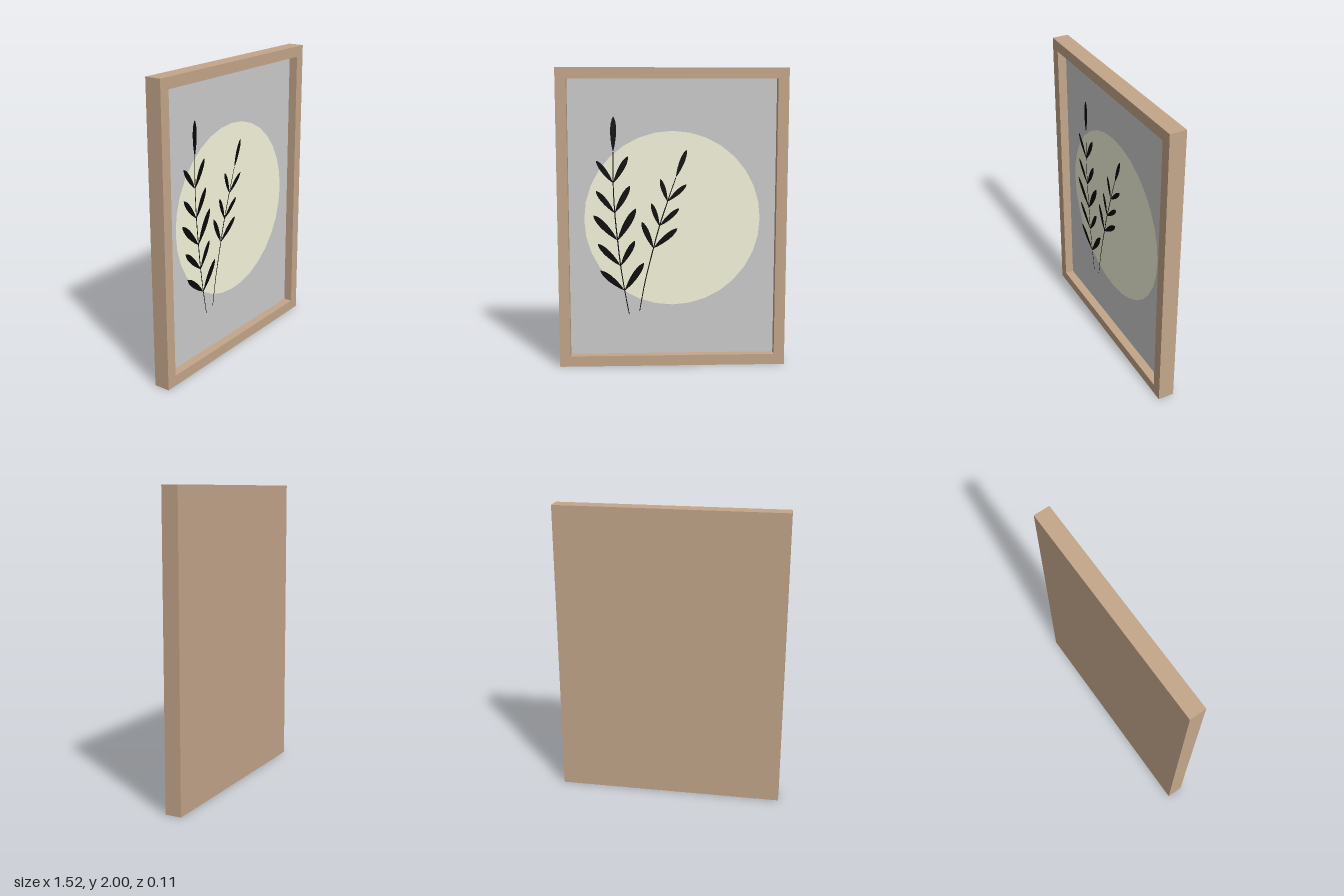
import * as THREE from 'three';

const W = 1.524, H = 2, BORDER = 0.072, FRONT = 0.055, RECESS = -0.007;

const material = (color, side = THREE.FrontSide) =>
  new THREE.MeshStandardMaterial({ color, side });

function add(parent, name, geometry, mat, x = 0, y = 0, z = 0) {
  const mesh = new THREE.Mesh(geometry, mat);
  mesh.name = name;
  mesh.position.set(x, y, z);
  parent.add(mesh);
  return mesh;
}

function rectangle(PathType, w, h) {
  const x = w / 2, y = h / 2;
  return new PathType([[-x, -y], [x, -y], [x, y], [-x, y]].map(p => new THREE.Vector2(...p)));
}

// Flat leaf from base to tip, fullest a little past the middle
function leafGeometry([bx, by], [tx, ty], ratio) {
  const dx = tx - bx, dy = ty - by;
  const at = (t, s) => [bx + dx * t - dy * s * ratio, by + dy * t + dx * s * ratio];
  const shape = new THREE.Shape();
  shape.moveTo(bx, by);
  shape.bezierCurveTo(...at(0.3, 0.55), ...at(0.82, 0.85), tx, ty);
  shape.bezierCurveTo(...at(0.82, -0.85), ...at(0.3, -0.55), bx, by);
  return new THREE.ShapeGeometry(shape, 10);
}

// Flat ribbon along a smooth curve, widening slightly from the foot
function stemGeometry(points) {
  const curve = new THREE.SplineCurve(points.map(p => new THREE.Vector2(...p)));
  const left = [], right = [], n = 30;
  for (let i = 0; i <= n; i++) {
    const p = curve.getPoint(i / n), t = curve.getTangent(i / n);
    const half = 0.0025 + 0.0012 * Math.sin(Math.PI * i / n);
    left.push(new THREE.Vector2(p.x - t.y * half, p.y + t.x * half));
    right.push(new THREE.Vector2(p.x + t.y * half, p.y - t.x * half));
  }
  return new THREE.ShapeGeometry(new THREE.Shape([...right, ...left.reverse()]));
}

// Each leaf pair: node on the stem, left tip, right tip
const sprigs = [
  {
    name: 'tallSprig',
    foot: [[-0.292, 0.345]],
    pairs: [
      [[-0.322, 0.512], [-0.485, 0.652], [-0.192, 0.702]],
      [[-0.348, 0.682], [-0.5, 0.835], [-0.25, 0.855]],
      [[-0.367, 0.857], [-0.527, 1.028], [-0.243, 1.072]],
      [[-0.384, 1.042], [-0.508, 1.192], [-0.282, 1.226]],
      [[-0.393, 1.243], [-0.504, 1.393], [-0.294, 1.421]],
    ],
    crown: [[-0.392, 1.45], [-0.388, 1.683]],
  },
  {
    name: 'shortSprig',
    foot: [[-0.222, 0.37], [-0.183, 0.577]],
    pairs: [
      [[-0.127, 0.802], [-0.204, 0.982], [0.034, 0.936]],
      [[-0.086, 0.953], [-0.14, 1.108], [0.046, 1.072]],
      [[-0.032, 1.118], [-0.08, 1.27], [0.095, 1.232]],
    ],
    crown: [[0.024, 1.28], [0.095, 1.463]],
  },
];

export function createModel() {
  const model = new THREE.Group();
  model.name = 'framedPicture';
  const wood = material(0xc4a68a);
  const ink = material(0x080808, THREE.DoubleSide);

  // Wooden border around the recess
  const border = rectangle(THREE.Shape, W, H);
  border.holes.push(rectangle(THREE.Path, W - 2 * BORDER, H - 2 * BORDER));
  add(model, 'frameBorder',
    new THREE.ExtrudeGeometry(border, { depth: FRONT - RECESS, bevelEnabled: false }),
    wood, 0, 1, RECESS);

  // Backing board, flush with the border's outer edges
  const backDepth = FRONT + RECESS;
  add(model, 'backBoard', new THREE.BoxGeometry(W, H, backDepth), wood,
    0, 1, RECESS - backDepth / 2);

  // Picture sheet and pale disc
  add(model, 'pictureSheet', new THREE.PlaneGeometry(W - 2 * BORDER, H - 2 * BORDER),
    material(0xcccccc), 0, 1, RECESS + 0.002);
  add(model, 'paleDisc', new THREE.CircleGeometry(0.588, 32),
    material(0xf5f5dc), 0, 1, RECESS + 0.005);

  // Leafy sprigs in front of the disc
  for (const { name, foot, pairs, crown } of sprigs) {
    const sprig = new THREE.Group();
    sprig.name = name;
    sprig.position.z = RECESS + 0.008;
    add(sprig, 'stem', stemGeometry([...foot, ...pairs.map(p => p[0]), crown[0]]), ink);
    for (const [node, leftTip, rightTip] of pairs) {
      add(sprig, 'leaf', leafGeometry(node, leftTip, 0.18), ink);
      add(sprig, 'leaf', leafGeometry(node, rightTip, 0.18), ink);
    }
    add(sprig, 'crownLeaf', leafGeometry(...crown, 0.16), ink);
    model.add(sprig);
  }
  return model;
}
